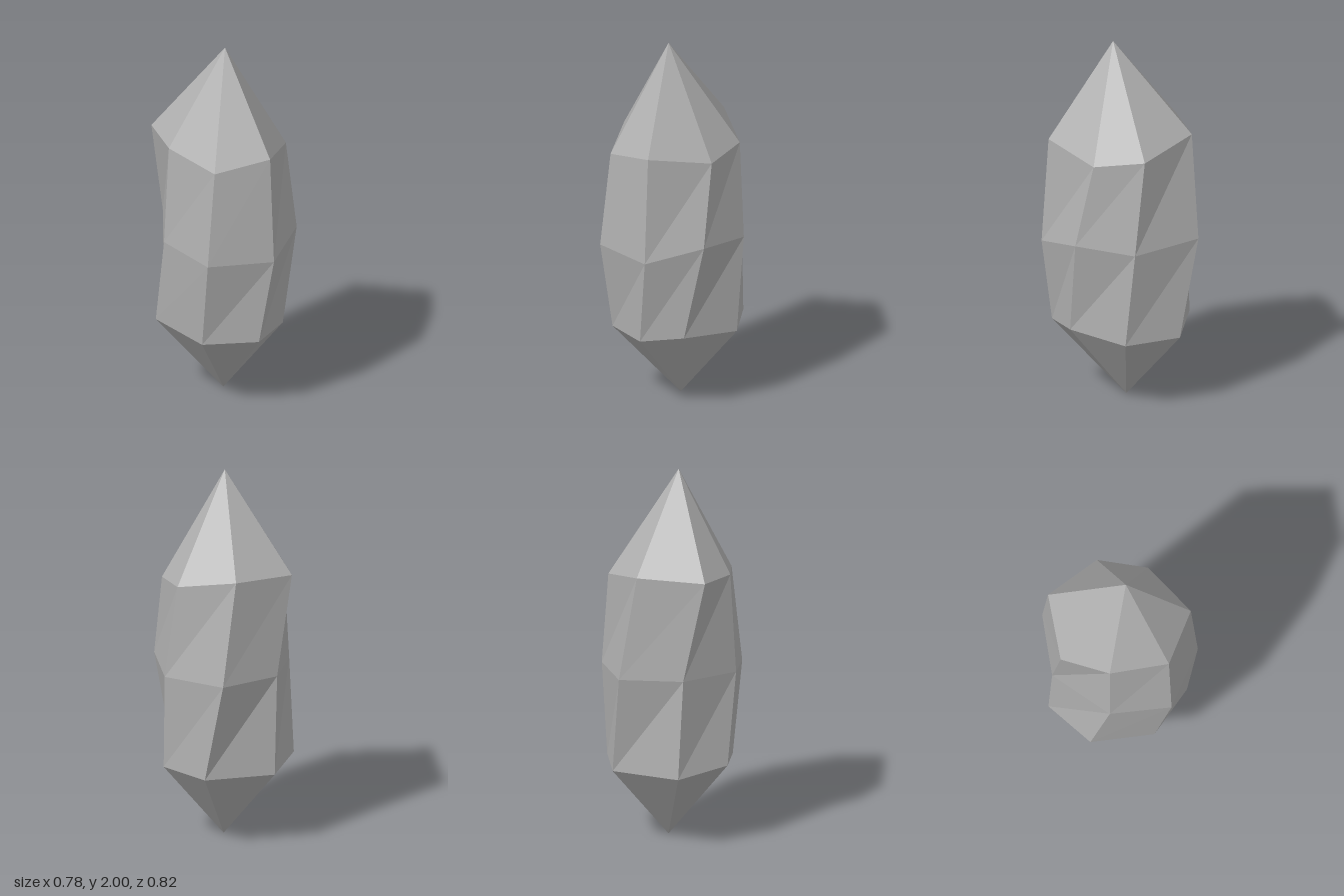
import * as THREE from 'three';

// Seven-sided cross-sections, listed counterclockwise seen from above
const lowerRing = [
  [-0.03, 0.40, 0.33], [0.26, 0.415, 0.255], [0.335, 0.44, 0.035], [0.23, 0.41, -0.28],
  [-0.06, 0.41, -0.39], [-0.355, 0.41, -0.15], [-0.325, 0.44, 0.155],
];
const middleRing = [
  [0.02, 0.89, 0.41], [0.34, 0.885, 0.25], [0.387, 0.96, -0.06], [0.203, 0.93, -0.325],
  [-0.175, 0.95, -0.41], [-0.355, 0.95, -0.12], [-0.26, 0.93, 0.237],
];
const upperRing = [
  [0.045, 1.41, 0.36], [0.313, 1.465, 0.225], [0.313, 1.41, -0.122], [0.13, 1.44, -0.322],
  [-0.21, 1.51, -0.322], [-0.39, 1.485, -0.01], [-0.24, 1.465, 0.213],
];
const bottomTip = [-0.005, 0, -0.035];
const topTip = [0.022, 2, 0.038];

// Faceted geometry: unshared corners keep every face flat
function facets(triangles) {
  const geometry = new THREE.BufferGeometry();
  geometry.setAttribute('position', new THREE.Float32BufferAttribute(triangles.flat(2), 3));
  geometry.computeVertexNormals();
  return geometry;
}

// Band of twisted panels between two rings
function band(low, high) {
  const triangles = [];
  low.forEach((p, i) => {
    const j = (i + 1) % low.length;
    triangles.push([p, low[j], high[j]], [p, high[j], high[i]]);
  });
  return triangles;
}

// Fan of faces from a ring to a point
function tip(ring, point, up) {
  return ring.map((p, i) => {
    const q = ring[(i + 1) % ring.length];
    return up ? [p, q, point] : [q, p, point];
  });
}

export function createModel() {
  const group = new THREE.Group();
  group.name = 'crystal';
  const stone = new THREE.MeshStandardMaterial({ color: 0xb0b0b0, flatShading: true });
  stone.name = 'grey stone';

  const parts = {
    bottomPoint: tip(lowerRing, bottomTip, false),
    lowerShaft: band(lowerRing, middleRing),
    upperShaft: band(middleRing, upperRing),
    topPoint: tip(upperRing, topTip, true),
  };
  for (const [name, triangles] of Object.entries(parts)) {
    const mesh = new THREE.Mesh(facets(triangles), stone);
    mesh.name = name;
    group.add(mesh);
  }
  return group;
}
